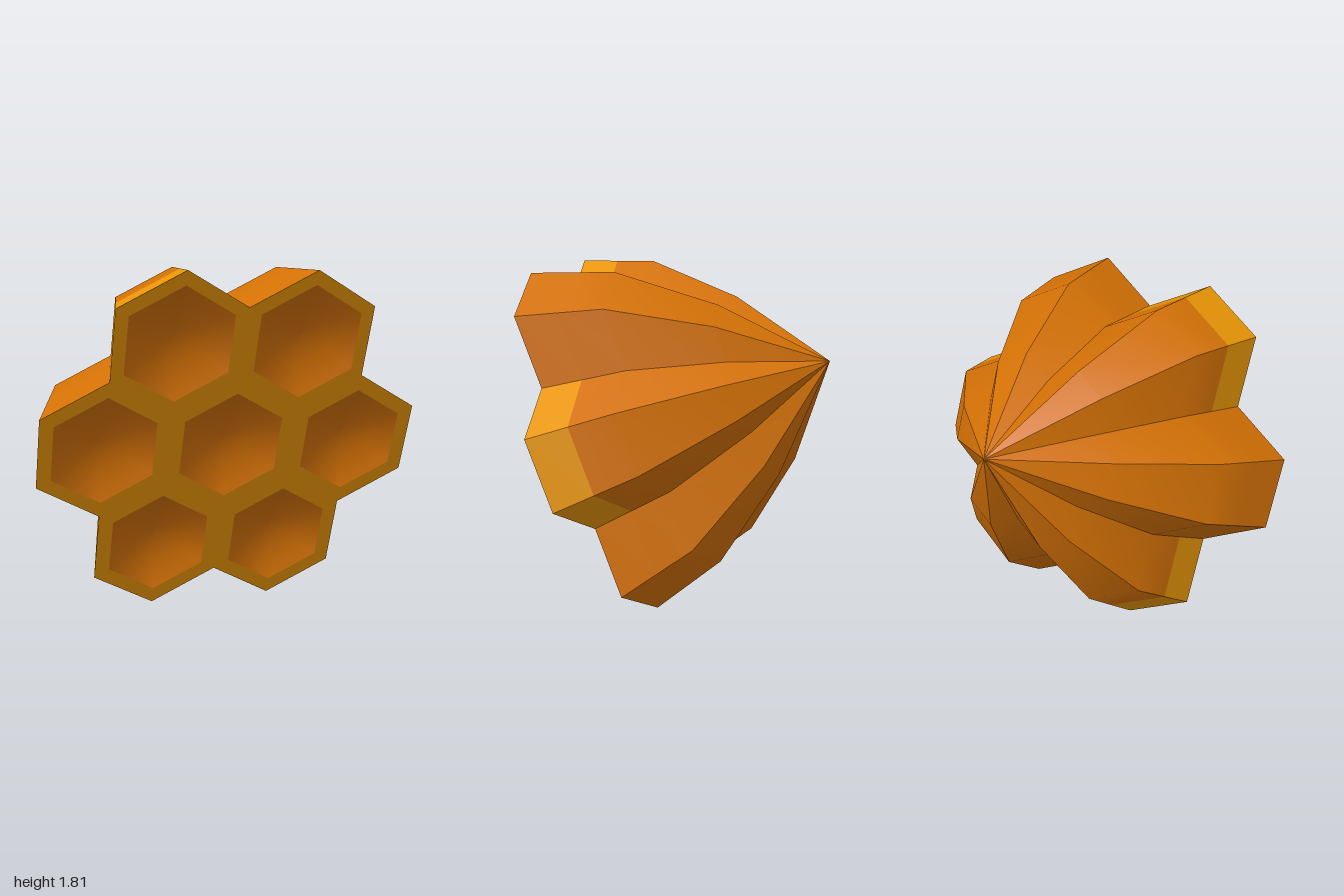
import * as THREE from 'three';

const APOTHEM = 1 / 3;
const RADIUS = APOTHEM * 2 / Math.sqrt(3);
const HOLE = RADIUS * 0.8;
const CELL_DEPTH = 0.1;

// Shell cross-sections from the front plane to the rear tip: [depth, scale]
const RINGS = [[0, 1], [0.205, 0.9256], [0.427, 0.845], [0.86, 0.49], [1.276, 0]];

// Opening size of the middle cell, then of the outer cells counter-clockwise from +x
const CELL_SIZES = [0.98, 0.965, 1, 1, 0.98, 0.96, 0.96];

const rad = (deg) => deg * Math.PI / 180;
const polar = (c, r, deg) => new THREE.Vector2(c.x + r * Math.cos(rad(deg)), c.y + r * Math.sin(rad(deg)));
const ORIGIN = new THREE.Vector2();

// Centre of outer cell k, and its four corners on the outline
const cellCentre = (k) => polar(ORIGIN, 2 * APOTHEM, k * 60);
const outerCorners = (k) => [-90, -30, 30, 90].map((a) => polar(cellCentre(k), RADIUS, k * 60 + a));

// Three tapering strips, smooth along their length and creased between each other
function lobeGeometry(k) {
  const corners = outerCorners(k);
  const pos = [], band = [], body = [];
  for (let s = 0; s < 3; s++) {
    const base = pos.length / 3;
    RINGS.forEach(([depth, scale], r) => {
      for (const c of [corners[s], corners[s + 1]]) pos.push(c.x * scale, c.y * scale, -depth);
      if (r === 0) return;
      const p = base + 2 * (r - 1);
      const out = r === 1 ? band : body;
      out.push(p, p + 2, p + 1);
      if (scale > 0) out.push(p + 1, p + 2, p + 3);
    });
  }
  const geo = new THREE.BufferGeometry();
  geo.setAttribute('position', new THREE.Float32BufferAttribute(pos, 3));
  geo.setIndex([...band, ...body]);
  geo.addGroup(0, band.length, 0);
  geo.addGroup(band.length, body.length, 1);
  geo.computeVertexNormals();
  return geo;
}

// Shallow six-sided dish opening towards +z
function dishGeometry() {
  const profile = [];
  for (let i = 0; i <= 10; i++) {
    const t = 1 - i / 10;
    profile.push(new THREE.Vector2(HOLE * t, -CELL_DEPTH * (1 - t * t)));
  }
  return new THREE.LatheGeometry(profile, 6).rotateX(Math.PI / 2);
}

export function createModel() {
  const amber = new THREE.MeshStandardMaterial({ color: 0xd27005 });
  amber.name = 'amber';
  const honey = new THREE.MeshStandardMaterial({ color: 0xec9806 });
  honey.name = 'honey yellow';

  const comb = new THREE.Group();
  comb.name = 'honeycomb';
  const add = (geo, mat, name) => {
    const mesh = new THREE.Mesh(geo, mat);
    mesh.name = name;
    comb.add(mesh);
    return mesh;
  };

  // Outer shell, with a yellow front band on every other lobe
  for (let k = 0; k < 6; k++) {
    add(lobeGeometry(k), [k % 2 ? amber : honey, amber], 'shellLobe' + (k + 1));
  }

  // Front plate with seven hexagonal openings
  const outline = [];
  for (let k = 0; k < 6; k++) outline.push(...outerCorners(k).slice(0, 3));
  const plate = new THREE.Shape(outline);
  const centres = [ORIGIN, ...[0, 1, 2, 3, 4, 5].map(cellCentre)];
  centres.forEach((c, i) => {
    const r = HOLE * CELL_SIZES[i];
    plate.holes.push(new THREE.Path([30, 90, 150, 210, 270, 330].map((a) => polar(c, r, a))));
  });
  add(new THREE.ShapeGeometry(plate), honey, 'frontPlate');

  // Dished cells behind the openings
  const dish = dishGeometry();
  centres.forEach((c, i) => {
    const cell = add(dish, amber, 'cell' + (i + 1));
    cell.position.set(c.x, c.y, 0);
    cell.scale.set(CELL_SIZES[i], CELL_SIZES[i], 1);
  });

  // Lean the comb so that its face looks slightly downwards
  comb.rotation.x = rad(21.35);
  comb.position.set(0, 0.896, 0.418);

  const model = new THREE.Group();
  model.name = 'honeycombModel';
  model.add(comb);
  return model;
}
